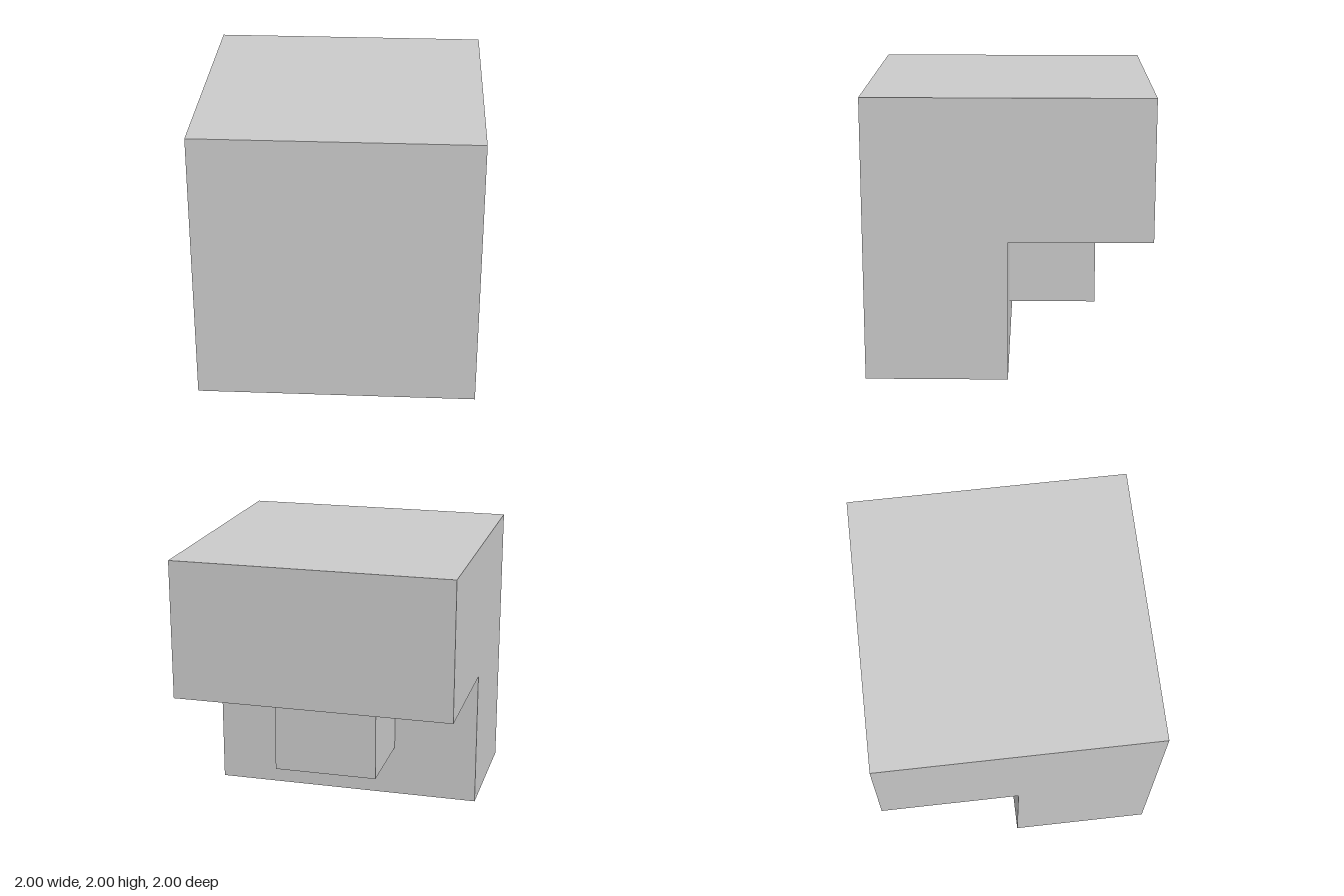
import * as THREE from 'three';

export function createModel() {
  const group = new THREE.Group();
  const material = new THREE.MeshStandardMaterial({ color: 0xcccccc, flatShading: true });

  const add = (name, geometry) => {
    const mesh = new THREE.Mesh(geometry, material);
    mesh.name = name;
    group.add(mesh);
    return mesh;
  };

  // L-shaped body: profile drawn in (z, y), extruded across the full width
  const profile = new THREE.Shape(
    [[1, 0], [1, 2], [-1, 2], [-1, 1], [0, 1], [0, 0]].map(([z, y]) => new THREE.Vector2(z, y))
  );
  const body = new THREE.ExtrudeGeometry(profile, { depth: 2, bevelEnabled: false });
  body.translate(0, 0, -1).rotateY(-Math.PI / 2);
  add('steppedBody', body);

  // Small cube set into the inner corner of the step
  const size = 0.75;
  add('cornerCube', new THREE.BoxGeometry(size, size, size)).position.set(0, 0.75, -0.25);

  return group;
}
